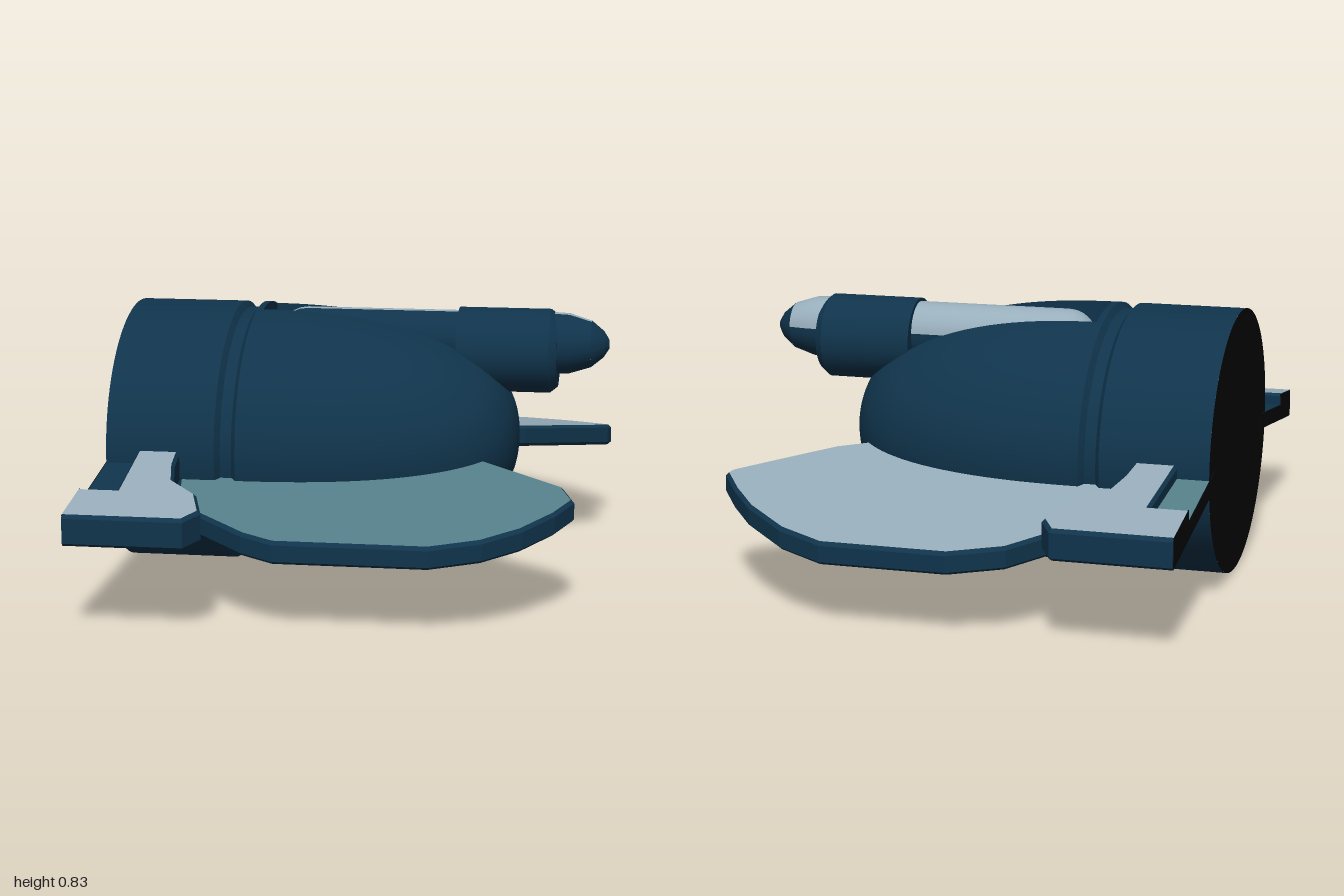
import * as THREE from 'three';
import { toCreasedNormals } from 'three/addons/utils/BufferGeometryUtils.js';

const mat = (name, color) => Object.assign(new THREE.MeshStandardMaterial({ color }), { name });

const BACK = -0.765, CY = 0.418, RY = 0.417, RZ = 0.481;

export function createModel() {
  const navy = mat('navy', 0x10344c);
  const pale = mat('pale blue grey', 0x98aebb);
  const teal = mat('teal', 0x55808a);
  const black = mat('black', 0x060606);

  const model = new THREE.Group();
  const add = (name, geometry, material) => {
    const mesh = new THREE.Mesh(geometry, material);
    mesh.name = name;
    model.add(mesh);
    return mesh;
  };

  // Elliptical hull with a groove, a domed nose and a slot sunk in its top
  const stations = [[BACK, 1], [-0.425, 1], [-0.41, 0.955], [-0.375, 0.955], [-0.36, 1], [-0.34, 1]];
  const dome = x => Math.pow(Math.max(0, 1 - Math.pow((x + 0.36) / 0.84, 2.35)), 1 / 2.35);
  const slotStart = -0.34, slotEnd = 0.28, floorY = 0.68;
  for (let i = 0; i <= 16; i++) {
    const x = slotStart + (slotEnd - slotStart) * i / 16;
    stations.push([x, dome(x), true]);
  }
  for (let i = 0; i <= 14; i++) {
    const x = slotEnd + 0.2 * Math.sin(i / 14 * Math.PI / 2);
    stations.push([x, Math.max(dome(x), 0.0005)]);
  }
  const ROUND = 72, SLOT = 8;
  const pos = [], index = [];
  stations.forEach(([x, r, slotted]) => {
    const edge = z => Math.asin(THREE.MathUtils.clamp(z / (RZ * r), -0.6, 0.4));
    const left = edge(0.08), right = edge(-0.17);
    const put = (a, sunk) => {
      const y = CY + RY * r * Math.cos(a);
      pos.push(x, sunk && slotted ? Math.min(y, floorY) : y, RZ * r * Math.sin(a));
    };
    for (let j = 0; j <= ROUND; j++) put(left + (right + Math.PI * 2 - left) * j / ROUND, false);
    for (let j = 0; j <= SLOT; j++) put(right + (left - right) * j / SLOT, true);
  });
  const ring = ROUND + SLOT + 2;
  for (let i = 0; i < stations.length - 1; i++) {
    for (let j = 0; j < ring; j++) {
      const k = (j + 1) % ring, a = i * ring + j, b = i * ring + k;
      index.push(a, b, a + ring, b, b + ring, a + ring);
    }
  }
  const hull = new THREE.BufferGeometry();
  hull.setAttribute('position', new THREE.Float32BufferAttribute(pos, 3));
  hull.setIndex(index);
  add('hull', toCreasedNormals(hull, 0.45), navy);

  // Flat rear face
  const cap = new THREE.CircleGeometry(1, 72).scale(RZ, RY, 1).rotateY(-Math.PI / 2);
  cap.translate(BACK, CY, 0);
  add('rearFace', cap, black);

  // Drooping slab: outline of [x, distance from the centre line], its top a function of that distance
  const slab = (name, outline, side, top, thick, topMat, bevel = 0.01) => {
    const shape = new THREE.Shape(outline.map(([x, s]) => new THREE.Vector2(x, -s * side)));
    const g = new THREE.ExtrudeGeometry(shape, {
      depth: thick - 2 * bevel, bevelEnabled: bevel > 0, bevelSize: bevel,
      bevelThickness: bevel, bevelOffset: -bevel, bevelSegments: 1
    });
    const lid = g.groups[0].count / 2, total = g.attributes.position.count;
    g.clearGroups();
    g.addGroup(0, lid, 0);
    g.addGroup(lid, lid, 1);
    g.addGroup(lid * 2, total - lid * 2, 0);
    g.translate(0, 0, bevel - thick).rotateX(-Math.PI / 2);
    const p = g.attributes.position;
    for (let i = 0; i < p.count; i++) {
      p.setX(i, Math.max(p.getX(i), BACK - 0.002));
      p.setY(i, p.getY(i) + top(Math.abs(p.getZ(i))));
    }
    g.computeVertexNormals();
    return add(name, g, [topMat === black ? black : navy, topMat]);
  };

  // Broad faceted wings
  const wingTop = s => 0.395 - 0.17 * (s - 0.26);
  slab('leftWing', [[-0.45, 0.2], [-0.54, 0.46], [-0.52, 0.58], [-0.43, 0.72], [-0.27, 0.85], [-0.17, 0.9],
    [0.29, 0.9], [0.44, 0.84], [0.55, 0.75], [0.64, 0.63], [0.69, 0.53], [0.65, 0.43], [0.39, 0.25], [0.3, 0.18]],
  1, wingTop, 0.07, teal);
  slab('rightWing', [[-0.45, 0.2], [-0.54, 0.48], [-0.51, 0.62], [-0.41, 0.76], [-0.26, 0.92], [-0.1, 0.985],
    [0.29, 0.985], [0.44, 0.91], [0.59, 0.78], [0.68, 0.67], [0.755, 0.56], [0.745, 0.53], [0.62, 0.42],
    [0.48, 0.3], [0.39, 0.255], [0.3, 0.18]],
  -1, wingTop, 0.07, pale);

  // Tail fins, each with a sunken pocket beside its strut and a flat rear end
  const finTop = s => 0.445 - 0.144 * (s - 0.48);
  const pocketTop = s => finTop(s) - 0.04;
  for (const side of [1, -1]) {
    const tag = side > 0 ? 'left' : 'right';
    slab(tag + 'TailFin', [[-0.79, 0.79], [-0.79, 1], [-0.41, 1], [-0.37, 0.93], [-0.41, 0.8], [-0.5, 0.7],
      [-0.525, 0.58], [-0.54, 0.4], [-0.67, 0.4], [-0.655, 0.79]], side, finTop, 0.095, pale);
    slab(tag + 'TailPocket', [[BACK, 0.4], [BACK, 0.8], [-0.65, 0.8], [-0.65, 0.4]],
      side, pocketTop, 0.055, side > 0 ? navy : teal, 0);
    const ends = [[0.4, 0.79, pocketTop, 0.055], [0.79, 0.992, finTop, 0.095]];
    for (const [a, b, top, thick] of ends) {
      const plate = [[BACK - 0.004, a], [BACK - 0.004, b], [BACK + 0.001, b], [BACK + 0.001, a]];
      slab(tag + 'TailEnd', plate, side, s => top(s) - 0.002, thick - 0.004, black, 0)
        .geometry.translate(-0.001, 0, 0);
    }
  }

  // Gun parts turned about the x axis from [x, radius] profiles
  const turned = (name, profile, y, material, start = 0, length = Math.PI * 2) => {
    const points = profile.map(([x, r]) => new THREE.Vector2(r, x));
    const segments = Math.max(8, Math.round(40 * length / (Math.PI * 2)));
    const g = new THREE.LatheGeometry(points, segments, start, length).rotateZ(-Math.PI / 2);
    g.translate(0, y, -0.043);
    add(name, toCreasedNormals(g, 0.6), material);
  };
  const stripStart = THREE.MathUtils.degToRad(185), stripLength = THREE.MathUtils.degToRad(95);
  const twoTone = (name, profile, y) => {
    turned(name + 'Strip', profile, y, pale, stripStart, stripLength);
    turned(name, profile, y, navy, stripStart + stripLength, Math.PI * 2 - stripLength);
  };

  const barrel = [];
  for (let i = 0; i <= 6; i++) {
    const a = i / 6 * Math.PI / 2;
    barrel.push([-0.215 - 0.097 * Math.cos(a), 0.097 * Math.sin(a)]);
  }
  barrel.push([0.3, 0.097]);
  twoTone('barrel', barrel, 0.723);
  turned('collar', [[0.28, 0], [0.28, 0.135], [0.575, 0.135], [0.6, 0.115], [0.6, 0]], 0.695, navy);
  twoTone('muzzle', [[0.575, 0.1], [0.635, 0.097], [0.705, 0.075]], 0.721);
  turned('muzzleTip', [[0.705, 0.075], [0.745, 0.042], [0.762, 0.015], [0.763, 0]], 0.721, navy);

  return model;
}
